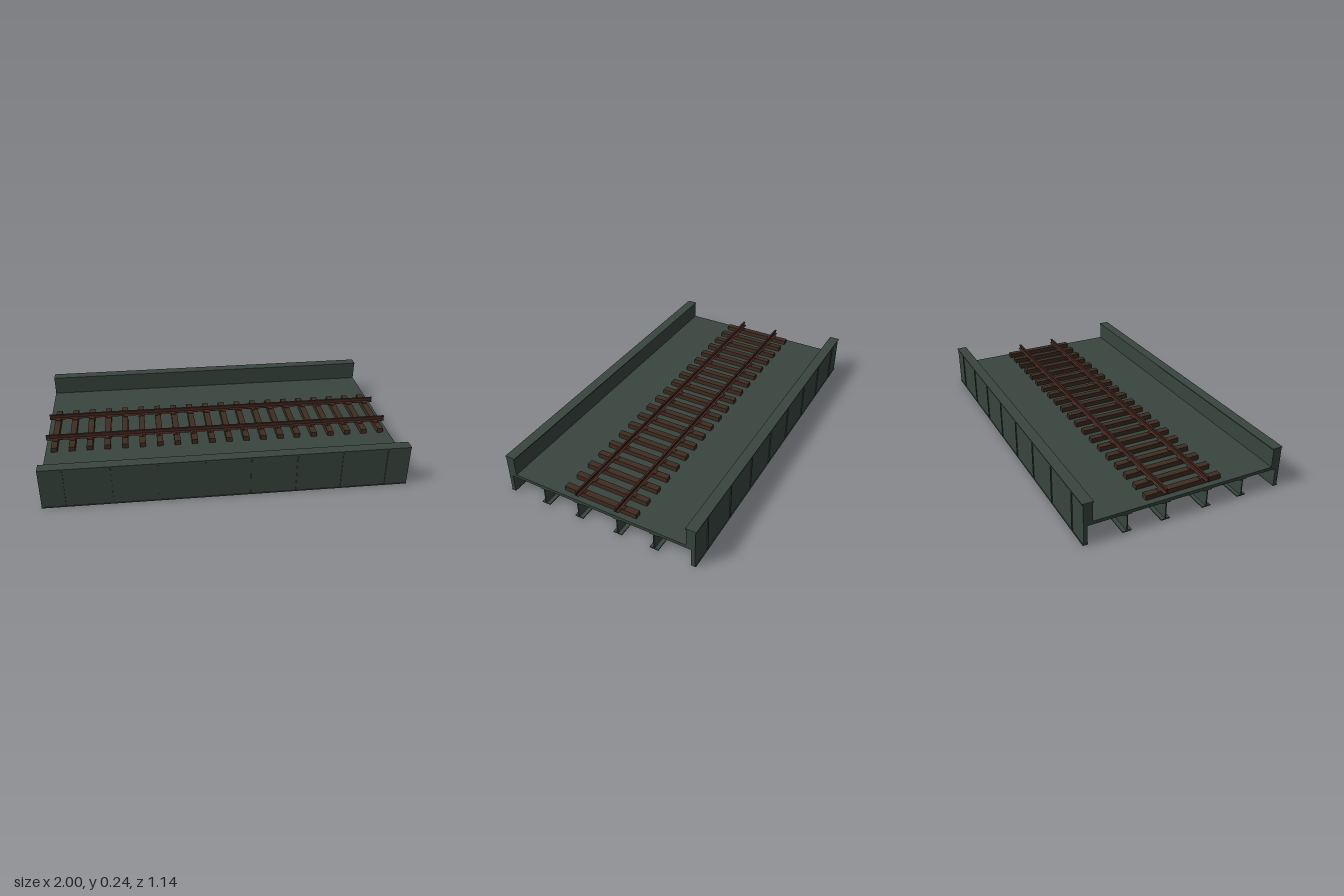
import * as THREE from 'three';

const LENGTH = 2;

export function createModel() {
  const steel = new THREE.MeshStandardMaterial({ color: 0x38453e });
  steel.name = 'dark green steel';
  const wood = new THREE.MeshStandardMaterial({ color: 0x3f2c21 });
  wood.name = 'tie wood';
  const rust = new THREE.MeshStandardMaterial({ color: 0x43271f });
  rust.name = 'rusty rail';

  const model = new THREE.Group();
  model.name = 'railwayBridge';

  // Box given by its centre in x and its y and z ranges
  const box = (name, mat, x, width, y0, y1, z0, z1, parent = model) => {
    const mesh = new THREE.Mesh(new THREE.BoxGeometry(width, y1 - y0, Math.abs(z1 - z0)), mat);
    mesh.position.set(x, (y0 + y1) / 2, (z0 + z1) / 2);
    mesh.name = name;
    parent.add(mesh);
    return mesh;
  };

  // Symmetric section [half width, height] extruded along x
  const beam = (name, mat, half, length) => {
    const pts = [...half, ...half.slice().reverse().map(([w, y]) => [-w, y])];
    const shape = new THREE.Shape(pts.map(([w, y]) => new THREE.Vector2(w, y)));
    const geo = new THREE.ExtrudeGeometry(shape, { depth: length, bevelEnabled: false });
    geo.translate(0, 0, -length / 2).rotateY(Math.PI / 2);
    const mesh = new THREE.Mesh(geo, mat);
    mesh.name = name;
    return mesh;
  };
  const iSection = (y0, y1, flange, web, t) => [
    [flange, y0], [flange, y0 + t], [web, y0 + t], [web, y1 - t], [flange, y1 - t], [flange, y1],
  ];

  // Deck plate
  box('deck', steel, 0, LENGTH, 0.108, 0.126, -0.546, 0.546);

  // Side girders: thick parapet above the deck, thinner skirt below
  for (const s of [1, -1]) {
    const girder = new THREE.Group();
    girder.name = s > 0 ? 'frontGirder' : 'backGirder';
    model.add(girder);
    box('parapet', steel, 0, LENGTH, 0.108, 0.232, s * 0.517, s * 0.567, girder);
    box('skirt', steel, 0, LENGTH, 0, 0.108, s * 0.545, s * 0.567, girder);
    box('topFlange', steel, 0, LENGTH, 0.231, 0.237, s * 0.512, s * 0.572, girder);
    box('bottomFlange', steel, 0, LENGTH, 0, 0.004, s * 0.544, s * 0.571, girder);
    for (let i = 0; i < 8; i++) {
      box('stiffener', steel, -0.875 + i * 0.25, 0.008, 0.004, 0.222, s * 0.566, s * 0.572, girder);
    }
  }

  // Lengthwise I-beams under the deck
  for (const z of [-0.335, -0.12, 0.12, 0.335]) {
    const stringer = beam('stringer', steel, iSection(0.003, 0.109, 0.025, 0.003, 0.006), LENGTH);
    stringer.position.z = z;
    model.add(stringer);
  }

  // Cross beams
  for (const x of [-0.75, -0.25, 0.25, 0.75]) {
    const cross = beam('crossBeam', steel, iSection(0.007, 0.096, 0.025, 0.003, 0.005), 1.02);
    cross.rotation.y = Math.PI / 2;
    cross.position.x = x;
    model.add(cross);
  }

  // Wooden ties with a plate under each rail
  for (let i = 0; i < 20; i++) {
    const x = -0.95 + i * 0.1;
    box('tie', wood, x, 0.035, 0.126, 0.153, -0.217, 0.217);
    for (const z of [-0.12, 0.12]) {
      box('tiePlate', rust, x, 0.028, 0.153, 0.156, z - 0.025, z + 0.025);
    }
  }

  // Rails
  const railHalf = [
    [0.013, 0.155], [0.013, 0.157], [0.002, 0.161], [0.002, 0.174],
    [0.006, 0.176], [0.006, 0.182], [0.005, 0.183],
  ];
  for (const z of [-0.12, 0.12]) {
    const rail = beam('rail', rust, railHalf, LENGTH);
    rail.position.z = z;
    model.add(rail);
  }

  return model;
}
